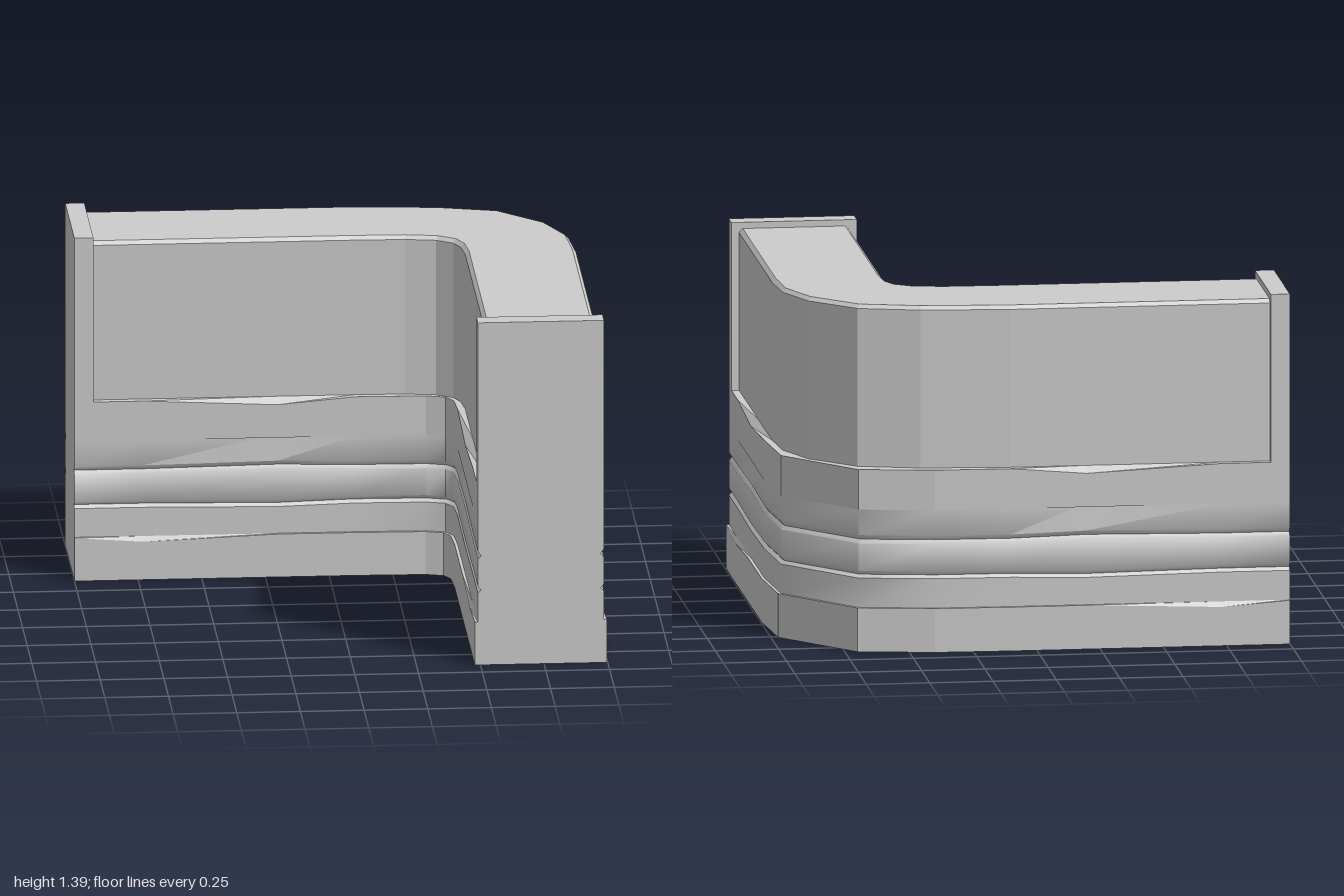
import * as THREE from 'three';
import { toCreasedNormals } from 'three/addons/utils/BufferGeometryUtils.js';

// Mitred sideways normals of a plan polyline of [x, z] points
function miters(path) {
  const seg = path.slice(1).map(([x, z], i) => {
    const dx = x - path[i][0], dz = z - path[i][1], l = Math.hypot(dx, dz);
    return [dz / l, -dx / l];
  });
  return path.map((_, i) => {
    const a = seg[Math.max(i - 1, 0)], b = seg[Math.min(i, seg.length - 1)];
    const s = 1 + a[0] * b[0] + a[1] * b[1];
    return [(a[0] + b[0]) / s, (a[1] + b[1]) / s];
  });
}

// Sweep a two-sided wall; rows(i) lists [height, outward offset] from bottom to top
function sweepWall(outer, inner, rows, crease) {
  const no = miters(outer), ni = miters(inner), pos = [];
  const sections = outer.map((o, i) => {
    const list = rows(i);
    const out = list.map(([y, d]) => [o[0] + no[i][0] * d, y, o[1] + no[i][1] * d]);
    const inn = list.map(([y, d]) => [inner[i][0] - ni[i][0] * d, y, inner[i][1] - ni[i][1] * d]);
    return [...out, ...inn.reverse()];
  });
  const quad = (a, b, c, d) => pos.push(...a, ...b, ...c, ...b, ...d, ...c);
  const n = sections[0].length, last = sections[sections.length - 1];
  for (let i = 0; i < sections.length - 1; i++) {
    const s = sections[i], t = sections[i + 1];
    for (let j = 0; j < n; j++) quad(s[j], s[(j + 1) % n], t[j], t[(j + 1) % n]);
  }
  // End caps, one strip for each profile row
  for (let k = 0; k < n / 2 - 1; k++) {
    const s = sections[0];
    quad(s[k], s[n - 1 - k], s[k + 1], s[n - 2 - k]);
    quad(last[n - 1 - k], last[k], last[n - 2 - k], last[k + 1]);
  }
  const geo = new THREE.BufferGeometry();
  geo.setAttribute('position', new THREE.Float32BufferAttribute(pos, 3));
  if (crease) return toCreasedNormals(geo, crease);
  geo.computeVertexNormals();
  return geo;
}

export function createModel() {
  const group = new THREE.Group();
  const grey = new THREE.MeshStandardMaterial({ color: 0xcccccc });
  grey.name = 'light grey';
  const add = (name, geo) => {
    const mesh = new THREE.Mesh(geo, grey);
    mesh.name = name;
    group.add(mesh);
    return mesh;
  };

  // Plan of the lower wall: two arms and a rounded corner
  const xs = [-1, -0.73, -0.2, 0.1], zs = [-0.2, 0.22, 0.63, 0.9];
  const outer = [...xs.map(x => [x, -0.89]), [0.4, -0.882], [0.695, -0.83], [0.96, -0.51], ...zs.map(z => [0.985, z])];
  const inner = [...xs.map(x => [x, -0.4]), [0.38, -0.393], [0.455, -0.37], [0.483, -0.32], ...zs.map(z => [0.49, z])];
  const end = outer.length - 1;
  const swell = i => (i === 2 || i === end - 2 ? 1 : 0);
  const dip = i => (i === 1 || i === end - 1 ? 1 : 0);

  // Plinth with a worn top edge
  add('plinth', sweepWall(outer, inner, i => [
    [0, 0.012], [0.175 - 0.02 * dip(i), 0.012], [0.175, 0],
  ]));

  // Middle bands separated by two V grooves
  add('groovedBands', sweepWall(outer, inner, i => {
    const w = 0.008 * swell(i), b = 0.012 * swell(i);
    return [
      [0.175, 0], [0.292 - w, 0], [0.305 - w, -0.013], [0.32 - w, 0],
      [0.43 + w, 0], [0.445 + w, -0.013], [0.463 + w, 0], [0.565 + 1.25 * b, -b],
    ];
  }, 0.73));

  // Overhanging lip and sloping ledge
  add('ledge', sweepWall(outer, inner, i => [
    [0.565 + 0.015 * swell(i), -0.012 * swell(i)], [0.565, 0], [0.725 - 0.026 * swell(i), 0], [0.725, -0.03],
  ]));

  // Recessed upper panel with a chamfered top
  const panelOuter = [[-0.95, -0.86], [0.1, -0.86], [0.45, -0.83], [0.69, -0.765], [0.865, -0.585], [0.94, -0.4], [0.955, -0.2], [0.955, 0.85]];
  const panelInner = [[-0.95, -0.43], [0.1, -0.43], [0.3, -0.425], [0.42, -0.405], [0.485, -0.36], [0.51, -0.3], [0.52, -0.2], [0.52, 0.85]];
  add('upperPanel', sweepWall(panelOuter, panelInner, () => [[0.69, 0], [1.355, 0], [1.37, -0.015]]));

  // Posts closing both ends
  add('leftEndPost', new THREE.BoxGeometry(0.495, 0.675, 0.08)).position.set(0.7375, 1.0575, 0.86);
  add('rightEndPost', new THREE.BoxGeometry(0.075, 0.675, 0.49)).position.set(-0.9625, 1.0575, -0.645);
  return group;
}
